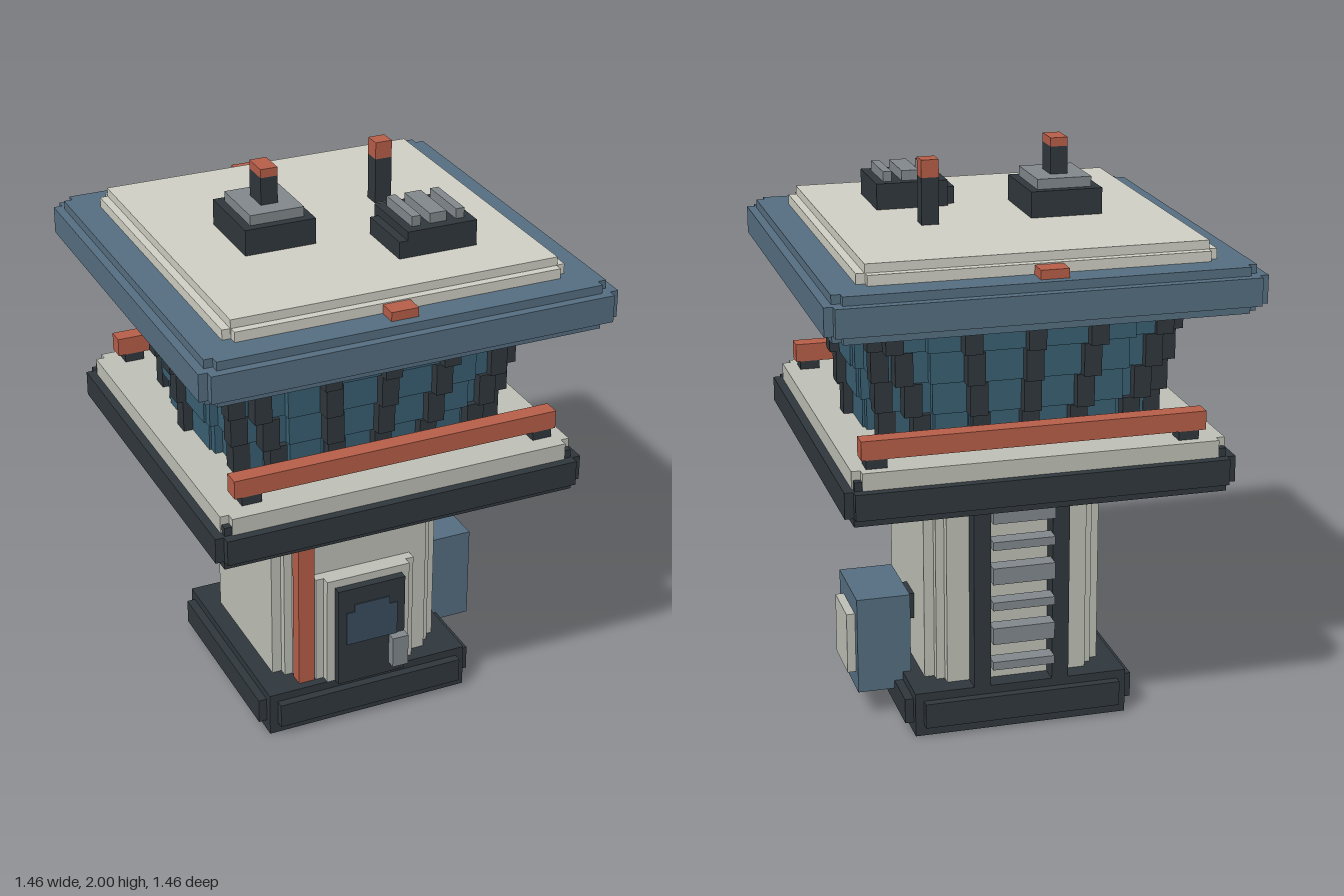
import * as THREE from 'three';

const mat = (color) => new THREE.MeshStandardMaterial({ color, flatShading: true });

export function createModel() {
  const M = {
    dark: mat(0x30383d), light: mat(0xbfc2b8), cream: mat(0xd2d1c6), blue: mat(0x566f82),
    glass: mat(0x3a6073), red: mat(0xb85f49), grey: mat(0x82898d), window: mat(0x3b4e60),
  };
  const root = new THREE.Group();
  const group = (name) => {
    const g = new THREE.Group();
    g.name = name;
    root.add(g);
    return g;
  };
  // Box given by its extents
  const box = (parent, name, m, x0, x1, y0, y1, z0, z1) => {
    const mesh = new THREE.Mesh(new THREE.BoxGeometry(x1 - x0, y1 - y0, z1 - z0), M[m]);
    mesh.position.set((x0 + x1) / 2, (y0 + y1) / 2, (z0 + z1) / 2);
    mesh.name = name;
    parent.add(mesh);
  };
  // Centred slab
  const slab = (parent, name, m, hx, hz, y0, y1) => box(parent, name, m, -hx, hx, y0, y1, -hz, hz);
  // Square slab with notched corners
  const notched = (parent, name, m, h, inset, y0, y1) => {
    slab(parent, name, m, h, h - inset, y0, y1);
    slab(parent, name, m, h - inset, h, y0, y1);
  };

  // Base plinth
  const base = group('base');
  slab(base, 'plinth', 'dark', 0.38, 0.38, 0, 0.16);
  notched(base, 'plinthBand', 'dark', 0.41, 0.06, 0.04, 0.13);

  // Shaft with stepped corners
  const shaft = group('shaft');
  notched(shaft, 'shaftWall', 'light', 0.315, 0.065, 0.16, 0.9);
  slab(shaft, 'shaftCorner', 'light', 0.28, 0.28, 0.16, 0.9);
  box(shaft, 'redStripe', 'red', -0.255, -0.195, 0.16, 0.9, 0.3, 0.35);

  // Door
  const door = group('door');
  box(door, 'outerFrame', 'light', -0.19, 0.185, 0.16, 0.575, 0.3, 0.35);
  box(door, 'innerFrame', 'light', -0.16, 0.155, 0.16, 0.575, 0.3, 0.38);
  box(door, 'doorPanel', 'dark', -0.13, 0.125, 0.16, 0.545, 0.3, 0.41);
  box(door, 'doorWindow', 'window', -0.1, 0.095, 0.32, 0.45, 0.38, 0.414);
  box(door, 'doorWindowTop', 'window', -0.07, 0.065, 0.45, 0.48, 0.38, 0.414);
  box(door, 'doorControl', 'grey', 0.065, 0.125, 0.2, 0.32, 0.38, 0.445);

  // Back ladder
  const ladder = group('ladder');
  for (const x of [-0.14, 0.14]) box(ladder, 'ladderRail', 'dark', x - 0.03, x + 0.03, 0.16, 0.9, -0.38, -0.3);
  for (let i = 0; i < 6; i++) {
    const y = 0.245 + i * 0.111, h = i % 2 ? 0.03 : 0.015;
    box(ladder, 'rung', 'grey', -0.11, 0.11, y - h, y + h, -0.41, -0.35);
  }

  // Equipment cabinet on the left wall
  const cabinet = group('sideCabinet');
  box(cabinet, 'bracket', 'dark', 0.3, 0.36, 0.32, 0.415, -0.1, 0.01);
  box(cabinet, 'cabinetBody', 'blue', 0.35, 0.54, 0.1, 0.45, -0.19, 0.1);
  box(cabinet, 'cabinetPanel', 'light', 0.53, 0.57, 0.165, 0.385, -0.155, 0.035);

  // Deck
  const deck = group('deck');
  slab(deck, 'deckUnderside', 'dark', 0.635, 0.635, 0.9, 1.02);
  notched(deck, 'deckEdge', 'dark', 0.665, 0.03, 0.93, 1.02);
  notched(deck, 'deckFloor', 'light', 0.635, 0.03, 1.02, 1.08);
  slab(deck, 'deckCorners', 'dark', 0.63, 0.63, 1.02, 1.05);

  // Front and back railings
  const rails = group('railings');
  for (const z of [0.54, -0.57]) {
    box(rails, 'railing', 'red', -0.57, 0.6, 1.11, 1.175, z - 0.03, z + 0.03);
    for (const x of [-0.51, 0.55]) box(rails, 'railingFoot', 'dark', x - 0.035, x + 0.035, 1.08, 1.11, z - 0.03, z + 0.03);
  }

  // Flared cabin: stepped rounded-square tiers with leaning posts
  const cabin = group('cabin');
  const TIERS = 4, N = 4, H = 0.45 / TIERS;
  for (let i = 0; i < TIERS; i++) {
    const t = i / (TIERS - 1), y0 = 1.08 + i * H, y1 = y0 + H;
    const a = 0.505 + 0.065 * t, b = 0.44 + 0.08 * t;
    const half = (v, across, along) => across * Math.pow(1 - Math.pow(v / along, N), 1 / N);
    for (const f of [0.4, 0.62, 0.76, 0.86, 0.93, 0.985])
      slab(cabin, 'glassTier', 'glass', a * f, half(a * f, b, a), y0, y1);
    slab(cabin, 'glassTier', 'glass', a, b * 0.42, y0, y1);
    const post = (x, z) => box(cabin, 'windowPost', 'dark', x - 0.03, x + 0.03, y0, y1, z - 0.03, z + 0.03);
    for (const s of [-1, 1]) {
      for (const x of [0, -0.19, 0.19, -0.41, 0.41]) {
        const px = x * (0.88 + 0.24 * t);
        post(px, s * (half(Math.abs(px), b, a) + 0.005));
      }
      for (const z of [0, -0.37, 0.37]) {
        const pz = z * (0.9 + 0.2 * t);
        post(s * (half(Math.abs(pz), a, b) + 0.003), pz);
      }
    }
  }

  // Roof
  const roof = group('roof');
  notched(roof, 'roofSlab', 'blue', 0.7, 0.03, 1.53, 1.685);
  slab(roof, 'roofCorner', 'blue', 0.699, 0.699, 1.565, 1.655);
  notched(roof, 'roofRim', 'blue', 0.73, 0.03, 1.56, 1.655);
  notched(roof, 'roofPanelLower', 'cream', 0.6, 0.03, 1.685, 1.72);
  slab(roof, 'roofPanelUpper', 'cream', 0.572, 0.572, 1.685, 1.75);
  box(roof, 'frontRoofLight', 'red', -0.068, 0.027, 1.68, 1.716, 0.56, 0.665);
  box(roof, 'backRoofLight', 'red', -0.068, 0.027, 1.68, 1.716, -0.67, -0.565);

  // Beacon
  const beacon = group('beacon');
  box(beacon, 'beaconBase', 'dark', -0.35, -0.1, 1.75, 1.84, -0.13, 0.155);
  box(beacon, 'beaconPlate', 'grey', -0.32, -0.13, 1.84, 1.875, -0.1, 0.125);
  box(beacon, 'beaconMast', 'dark', -0.255, -0.195, 1.875, 1.97, -0.035, 0.06);
  box(beacon, 'beaconLamp', 'red', -0.255, -0.195, 1.97, 2, -0.035, 0.06);

  // Slatted vent
  const vent = group('vent');
  box(vent, 'ventBase', 'dark', 0.125, 0.375, 1.75, 1.84, 0.125, 0.38);
  box(vent, 'ventSide', 'dark', 0.095, 0.375, 1.75, 1.81, 0.155, 0.38);
  for (const [x0, x1] of [[0.155, 0.187], [0.22, 0.28], [0.315, 0.345]])
    box(vent, 'ventSlat', 'grey', x0, x1, 1.83, 1.875, 0.155, 0.345);

  // Antenna
  const antenna = group('antenna');
  box(antenna, 'antennaMast', 'dark', 0.22, 0.28, 1.75, 1.91, -0.13, -0.07);
  box(antenna, 'antennaTip', 'red', 0.22, 0.28, 1.91, 1.97, -0.13, -0.07);

  return root;
}
